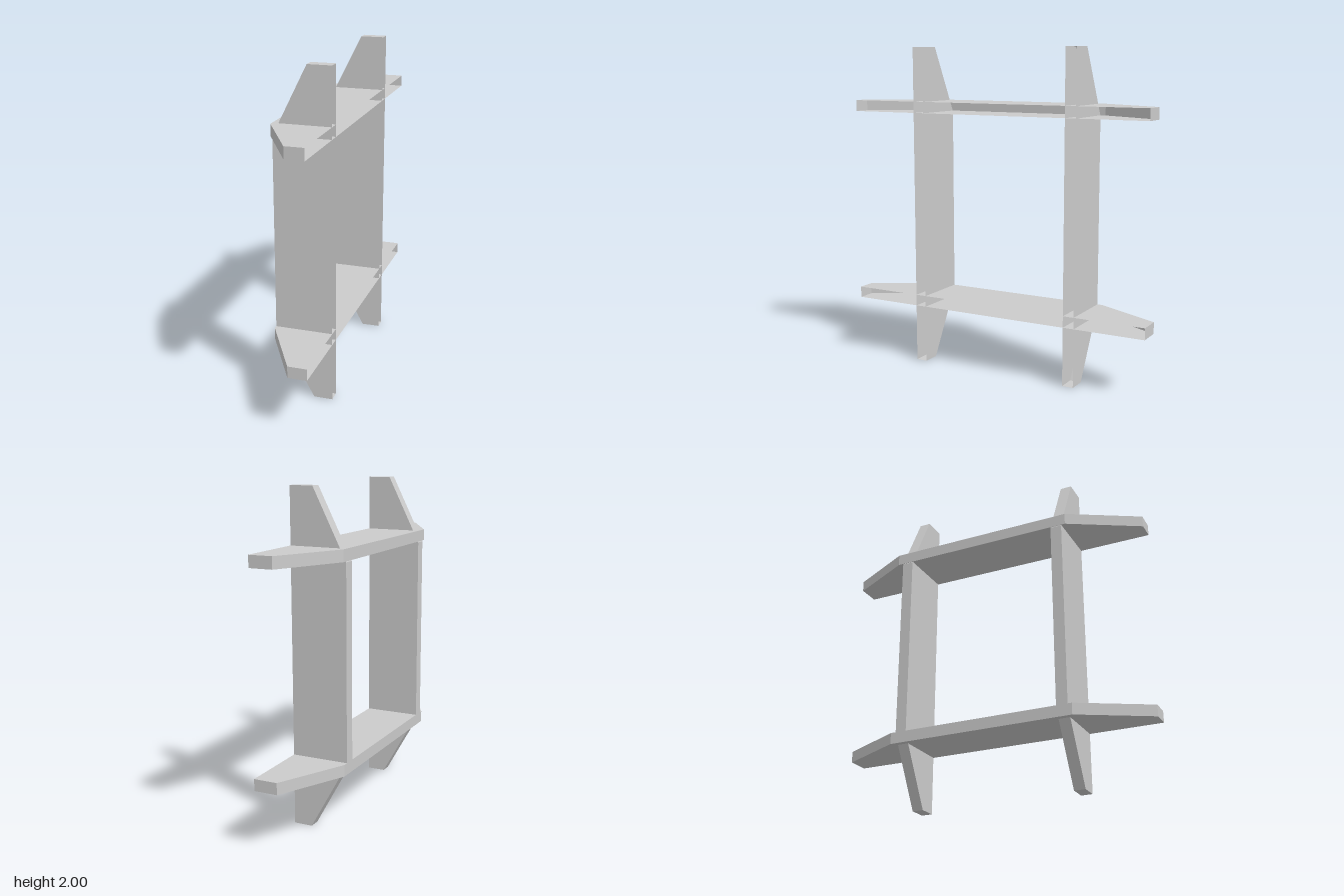
import * as THREE from 'three';

// Board side profile (x, length), counter-clockwise; the +x edge stays open
const PROFILE = [
  [0.173, 2], [0.03, 2], [-0.175, 1.59], [-0.175, 0.42], [0.06, 0], [0.173, 0],
];
const HALF = 0.035; // half the board thickness

// Hollow board: two flat sides plus edge walls, without a wall at +x
function boardGeometry() {
  const pos = [];
  const tri = (...corners) => corners.forEach(([p, z]) => pos.push(p[0], p[1], z));
  for (let i = 1; i < PROFILE.length - 1; i++) {
    const [a, b, c] = [PROFILE[0], PROFILE[i], PROFILE[i + 1]];
    tri([a, HALF], [b, HALF], [c, HALF]);
    tri([a, -HALF], [c, -HALF], [b, -HALF]);
  }
  for (let i = 0; i < PROFILE.length - 1; i++) {
    const p = PROFILE[i], q = PROFILE[i + 1];
    tri([p, -HALF], [q, -HALF], [q, HALF]);
    tri([p, -HALF], [q, HALF], [p, HALF]);
  }
  const geo = new THREE.BufferGeometry();
  geo.setAttribute('position', new THREE.Float32BufferAttribute(pos, 3));
  geo.computeVertexNormals();
  return geo;
}

export function createModel() {
  const model = new THREE.Group();
  model.name = 'crossedShelf';
  const material = new THREE.MeshStandardMaterial({
    color: 0xcccccc, flatShading: true, side: THREE.DoubleSide,
  });
  const geo = boardGeometry();

  // Upright boards
  for (const [name, z] of [['frontUpright', 0.52], ['backUpright', -0.522]]) {
    const upright = new THREE.Mesh(geo, material);
    upright.name = name;
    upright.position.z = z;
    model.add(upright);
  }

  // Shelves: the same board laid flat, running from front to back
  for (const [name, y] of [['lowerShelf', 0.395], ['upperShelf', 1.63]]) {
    const shelf = new THREE.Mesh(geo, material);
    shelf.name = name;
    shelf.rotation.x = -Math.PI / 2;
    shelf.position.set(0, y, 1);
    model.add(shelf);
  }
  return model;
}
